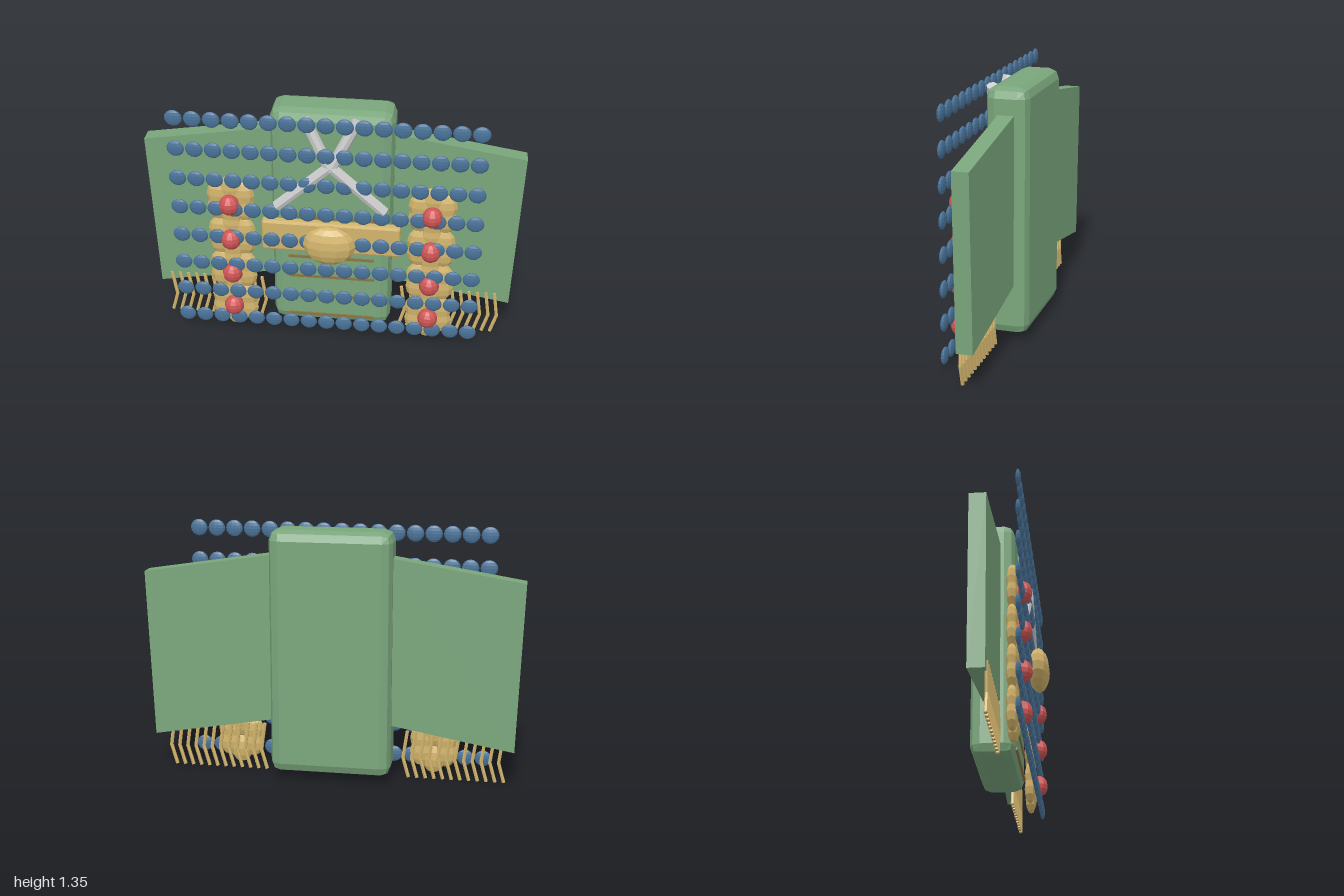
import * as THREE from 'three';
import { RoundedBoxGeometry } from 'three/addons/geometries/RoundedBoxGeometry.js';

const material = (color) => new THREE.MeshStandardMaterial({ color, flatShading: true });
const green = material(0x7aa67c);
const blue = material(0x4a7399);
const gold = material(0xd2b46c);
const darkGold = material(0x8a7644);
const red = material(0xcf5555);
const grey = material(0xcccccc);

export function createModel() {
  const model = new THREE.Group();

  function add(parent, name, geometry, mat, x = 0, y = 0, z = 0) {
    const mesh = new THREE.Mesh(geometry, mat);
    mesh.name = name;
    mesh.position.set(x, y, z);
    parent.add(mesh);
    return mesh;
  }
  function group(name) {
    const g = new THREE.Group();
    g.name = name;
    model.add(g);
    return g;
  }
  const ellipsoid = (rx, ry, rz, w = 10, h = 8) =>
    new THREE.SphereGeometry(1, w, h).scale(rx, ry, rz);

  // Straight rod between two points
  function rod(parent, name, a, b, ra, rb, sides, mat) {
    const from = new THREE.Vector3(...a);
    const dir = new THREE.Vector3(...b).sub(from);
    const mesh = add(parent, name, new THREE.CylinderGeometry(rb, ra, dir.length(), sides), mat);
    mesh.position.copy(from).addScaledVector(dir, 0.5);
    mesh.quaternion.setFromUnitVectors(new THREE.Vector3(0, 1, 0), dir.normalize());
    return mesh;
  }

  // Chamfered torso block
  add(model, 'body', new RoundedBoxGeometry(0.645, 1.31, 0.225, 1, 0.054), green, 0, 0.705, -0.083);

  // Flat side panels, tapering outwards
  for (const s of [1, -1]) {
    const shape = new THREE.Shape([[0.28, 1.23], [1, 1.115], [0.97, 0.214], [0.28, 0.335]]
      .map(([x, y]) => new THREE.Vector2(s * x, y)));
    const panel = new THREE.ExtrudeGeometry(shape, { depth: 0.085, bevelEnabled: false });
    add(model, s > 0 ? 'leftPanel' : 'rightPanel', panel, green, 0, 0, -0.127);
  }

  // Thin ribs across the front of the body
  const ribs = group('ribs');
  for (let i = 0; i < 6; i++) {
    add(ribs, 'rib', new THREE.BoxGeometry(0.465, 0.014, 0.016), darkGold, 0, 0.738 - i * 0.1266, 0.03);
  }

  // Belt with a domed buckle
  add(model, 'belt', new RoundedBoxGeometry(0.74, 0.18, 0.055, 1, 0.012), gold, 0, 0.63, 0.043);
  add(model, 'buckle', ellipsoid(0.14, 0.115, 0.058), gold, 0, 0.632, 0.132);

  // Crossed straps: upper arms lean back, lower arms hang flat
  const straps = group('straps');
  for (const s of [1, -1]) {
    rod(straps, 'upperStrap', [0, 1.06, 0.077], [s * 0.135, 1.33, 0.047], 0.03, 0.03, 8, grey);
    rod(straps, 'lowerStrap', [0, 1.08, 0.077], [s * 0.283, 0.825, 0.077], 0.03, 0.03, 8, grey);
  }

  // Two columns of flowers, each with a ring of petals and a red centre
  const flowers = group('flowers');
  const petal = ellipsoid(0.063, 0.08, 0.03, 8, 6);
  const heart = ellipsoid(0.055, 0.058, 0.05, 10, 8);
  for (const s of [1, -1]) {
    for (let row = 0; row < 4; row++) {
      const x = s * 0.534;
      const y = 0.17 + row * 0.216;
      for (let i = 0; i < 6; i++) {
        const a = Math.PI / 2 + i * Math.PI / 3;
        add(flowers, 'petal', petal, gold, x + 0.075 * Math.cos(a), y + 0.075 * Math.sin(a), 0.045);
      }
      add(flowers, 'flowerCentre', heart, red, x, y, 0.09);
    }
  }

  // Rows of flat beads in front
  const beads = group('beads');
  const bead = ellipsoid(0.046, 0.045, 0.0145, 10, 8);
  for (let row = 0; row < 8; row++) {
    for (let col = 0; col < 17; col++) {
      add(beads, 'bead', bead, blue, -0.8 + col * 0.0973, 1.32 - row * 0.175, 0.093);
    }
  }

  // Bent fringe threads under the side panels
  const fringe = group('fringe');
  for (const start of [-0.91, 0.38]) {
    for (let i = 0; i < 12; i++) {
      const x = start + i * 0.0464;
      rod(fringe, 'threadTop', [x + 0.022, 0.12, -0.043], [x, 0.275, -0.043], 0.01, 0.01, 6, gold);
      rod(fringe, 'threadEnd', [x - 0.009, 0.015, -0.043], [x + 0.022, 0.125, -0.043], 0.01, 0.01, 6, gold);
    }
  }

  return model;
}
